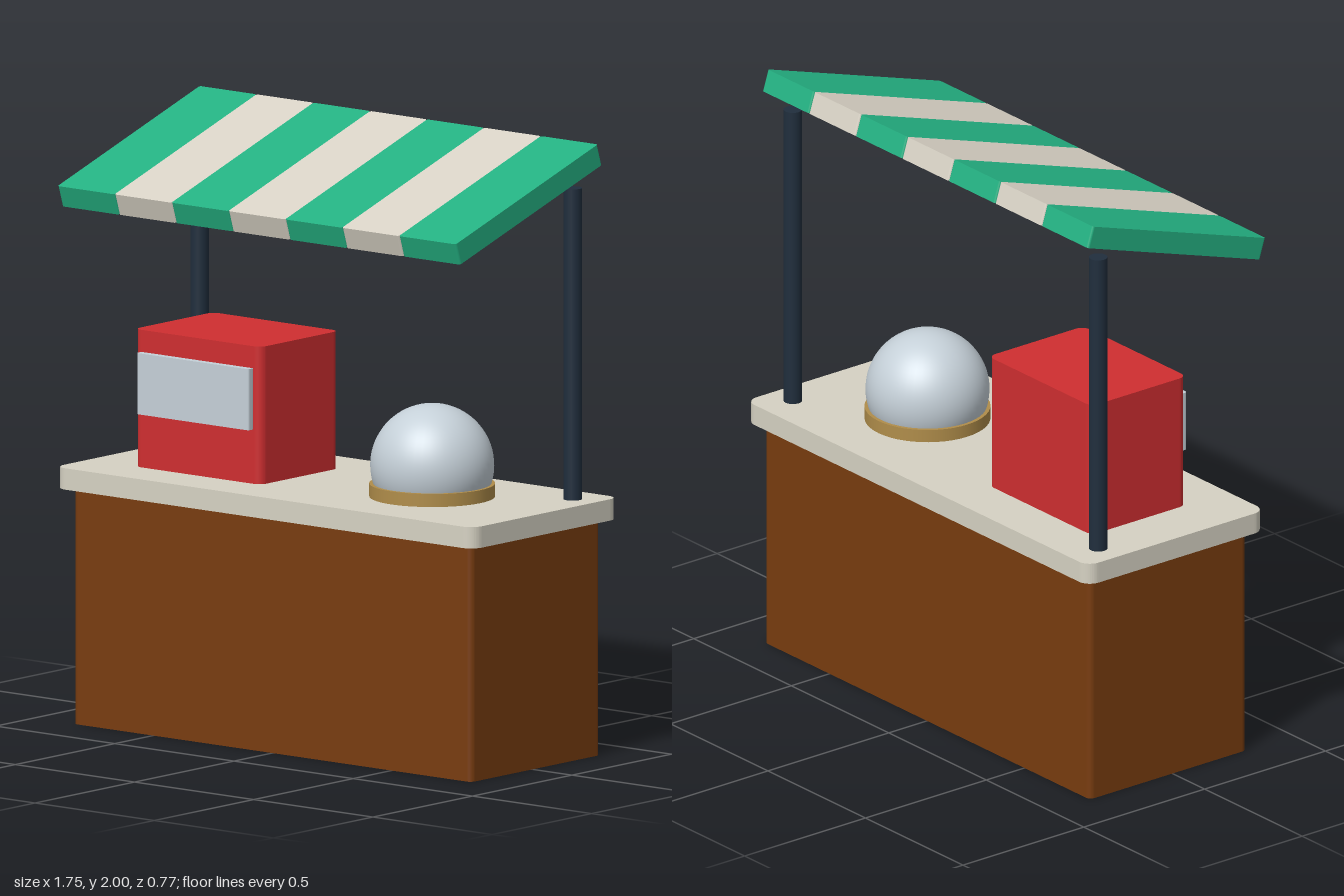
import * as THREE from 'three';

const mat = (name, color) => {
  const m = new THREE.MeshStandardMaterial({ color });
  m.name = name;
  return m;
};

// Slab with rounded vertical corners, centred on its own origin
function slab(w, h, d, r) {
  const x = w / 2, z = d / 2;
  const s = new THREE.Shape();
  s.moveTo(-x + r, -z);
  s.lineTo(x - r, -z);
  s.absarc(x - r, -z + r, r, -Math.PI / 2, 0);
  s.absarc(x - r, z - r, r, 0, Math.PI / 2);
  s.absarc(-x + r, z - r, r, Math.PI / 2, Math.PI);
  s.absarc(-x + r, -z + r, r, Math.PI, Math.PI * 1.5);
  const g = new THREE.ExtrudeGeometry(s, { depth: h, bevelEnabled: false, curveSegments: 6 });
  g.translate(0, 0, -h / 2);
  g.rotateX(-Math.PI / 2);
  return g;
}

export function createModel() {
  const root = new THREE.Group();
  root.name = 'marketStall';

  const wood = mat('brown wood', 0x783c0f);
  const stone = mat('pale stone', 0xd6d2c3);
  const navy = mat('dark navy', 0x202e3d);
  const red = mat('red', 0xcf2e30);
  const steel = mat('pale steel', 0xc5d0d8);
  const brass = mat('brass', 0xb08d4a);
  const green = mat('awning green', 0x24b182);
  const cream = mat('awning cream', 0xd8d2c5);

  const add = (name, geometry, material, x, y, z, parent = root) => {
    const m = new THREE.Mesh(geometry, material);
    m.name = name;
    m.position.set(x, y, z);
    parent.add(m);
    return m;
  };

  // Counter
  add('counterBase', slab(1.67, 0.77, 0.65, 0.02), wood, 0, 0.385, -0.017);
  add('countertop', slab(1.755, 0.07, 0.735, 0.045), stone, 0, 0.807, -0.017);

  // Rear posts
  for (const side of [-1, 1]) {
    add(side < 0 ? 'rightPost' : 'leftPost',
      new THREE.CylinderGeometry(0.03, 0.03, 1.02, 24), navy, side * 0.783, 1.35, -0.265);
  }

  // Red machine with a front panel
  add('machineBody', slab(0.53, 0.45, 0.395, 0.03), red, -0.42, 1.067, -0.017);
  add('machinePanel', slab(0.47, 0.2, 0.028, 0.008), steel, -0.42, 1.12, 0.192);

  // Domed dish
  add('dishBase', new THREE.CylinderGeometry(0.203, 0.203, 0.043, 48), brass, 0.4, 0.863, -0.017);
  add('dome', new THREE.SphereGeometry(0.2, 48, 24, 0, Math.PI * 2, 0, Math.PI * 0.6),
    steel, 0.4, 0.944, -0.017);

  // Sloping striped awning
  const awning = new THREE.Group();
  awning.name = 'awning';
  awning.position.set(0, 1.85, 0.018);
  awning.rotation.x = 0.311;
  root.add(awning);
  const stripes = 7, width = 1.67 / stripes;
  for (let i = 0; i < stripes; i++) {
    add('awningStripe' + (i + 1), slab(width, 0.073, 0.75, 0.008),
      i % 2 ? cream : green, (i - 3) * width, 0, 0, awning);
  }

  return root;
}
